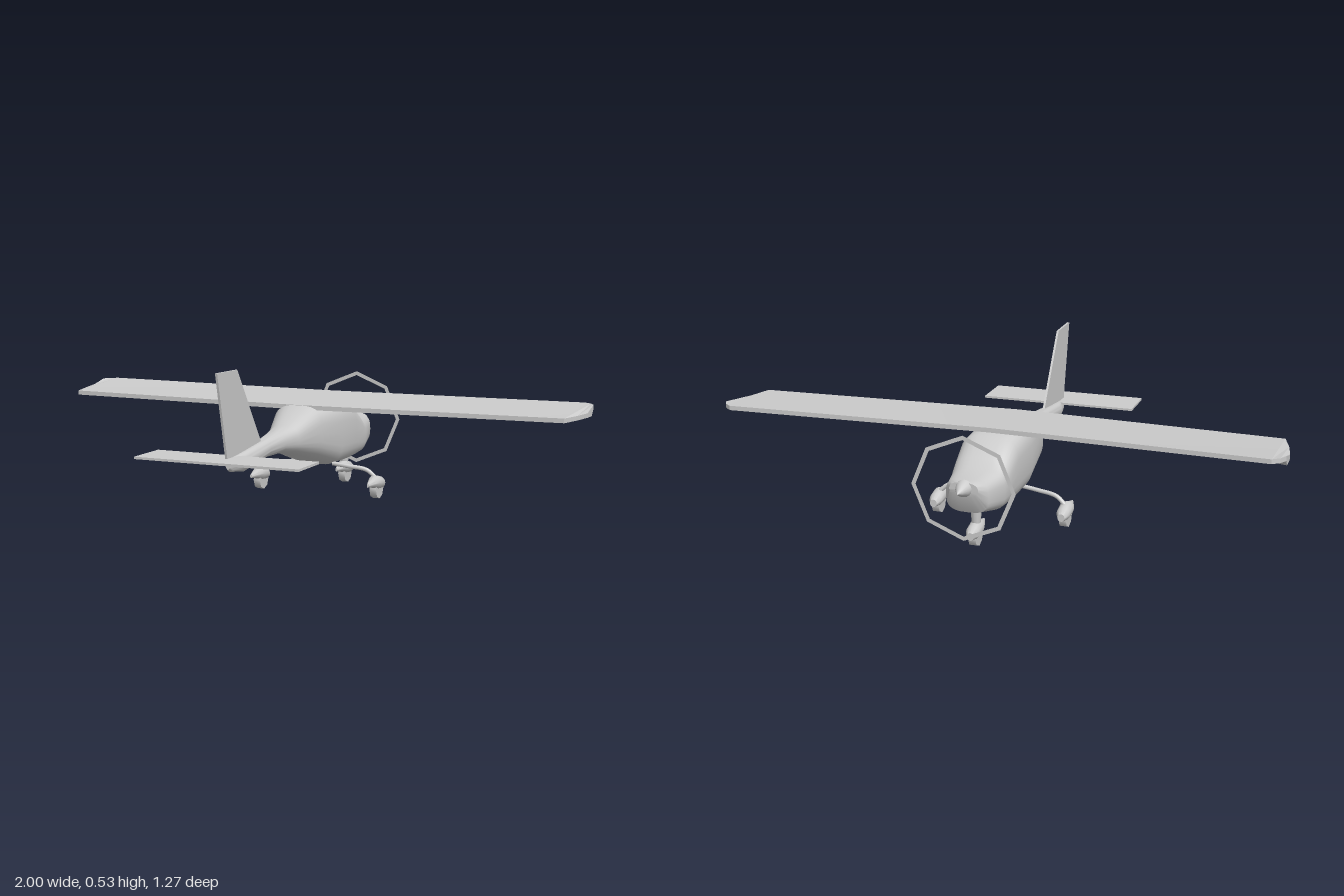
import * as THREE from 'three';
import { toCreasedNormals } from 'three/addons/utils/BufferGeometryUtils.js';

const material = new THREE.MeshStandardMaterial({ color: 0xcccccc, side: THREE.DoubleSide });

function part(name, geometry, parent) {
  const mesh = new THREE.Mesh(geometry, material);
  mesh.name = name;
  parent.add(mesh);
  return mesh;
}

// Skin between equal-length rings of [x, y, z] points, with both ends capped
function loft(rings, crease = 0.7) {
  const n = rings[0].length, points = rings.flat(), index = [];
  for (let i = 0; i < rings.length - 1; i++) {
    for (let j = 0; j < n; j++) {
      const a = i * n + j, b = i * n + (j + 1) % n;
      index.push(a, b, a + n, b, b + n, a + n);
    }
  }
  [0, rings.length - 1].forEach((r, end) => {
    const centre = points.length;
    points.push([0, 1, 2].map(k => rings[r].reduce((s, p) => s + p[k], 0) / n));
    for (let j = 0; j < n; j++) {
      const a = r * n + j, b = r * n + (j + 1) % n;
      index.push(centre, ...(end ? [a, b] : [b, a]));
    }
  });
  const geometry = new THREE.BufferGeometry();
  geometry.setAttribute('position', new THREE.Float32BufferAttribute(points.flat(), 3));
  geometry.setIndex(index);
  return toCreasedNormals(geometry, crease);
}

// Rounded-box cross-section: [z, bottom, top, half width, squareness]
function section([z, bottom, top, width, power = 2], sides) {
  const round = v => Math.sign(v) * Math.abs(v) ** (2 / power);
  return Array.from({ length: sides }, (_, j) => {
    const t = (j / sides) * Math.PI * 2;
    return [
      width * round(Math.cos(t)),
      (top + bottom) / 2 + ((top - bottom) / 2) * round(Math.sin(t)),
      z,
    ];
  });
}

const body = (stations, sides) => loft(stations.map(s => section(s, sides)));

// Faired wheel, used under the nose and under each main leg
function makeWheel(name, x, z) {
  const group = new THREE.Group();
  group.name = name;
  part('wheelFairing', body([
    [-0.07, 0.036, 0.064, 0.013],
    [-0.045, 0.032, 0.078, 0.024],
    [0, 0.036, 0.088, 0.026],
    [0.04, 0.05, 0.075, 0.014],
    [0.07, 0.053, 0.068, 0.004],
  ], 12), group);
  const tyre = new THREE.CylinderGeometry(0.038, 0.038, 0.026, 8).rotateZ(Math.PI / 2);
  part('tyre', toCreasedNormals(tyre, 0.9), group).position.set(0, 0.038, -0.016);
  group.position.set(x, 0, z);
  return group;
}

export function createModel() {
  const plane = new THREE.Group();
  plane.name = 'lightAircraft';

  // Fuselage from cowling to tail cone
  part('fuselage', body([
    [-0.575, 0.21, 0.26, 0.05, 2.5],
    [-0.54, 0.145, 0.262, 0.075, 3],
    [-0.44, 0.12, 0.264, 0.097, 3.2],
    [-0.4, 0.116, 0.29, 0.102, 3.2],
    [-0.32, 0.112, 0.342, 0.107, 3.4],
    [-0.18, 0.114, 0.352, 0.108, 3.4],
    [-0.02, 0.16, 0.352, 0.097, 3],
    [0.1, 0.195, 0.296, 0.06, 2.5],
    [0.17, 0.206, 0.284, 0.044, 2.3],
    [0.27, 0.207, 0.27, 0.032, 2.2],
    [0.44, 0.184, 0.25, 0.028, 2.2],
    [0.52, 0.196, 0.242, 0.014, 2.2],
    [0.535, 0.205, 0.235, 0.008, 2],
  ], 32), plane);

  // Spinner and thin propeller hoop
  const profile = [[0.03, 0], [0.024, 0.02], [0.012, 0.045], [0, 0.067]];
  const spinner = new THREE.LatheGeometry(profile.map(p => new THREE.Vector2(...p)), 16);
  part('spinner', spinner.rotateX(-Math.PI / 2), plane).position.set(0, 0.238, -0.568);
  part('propellerHoop', new THREE.RingGeometry(0.166, 0.181, 8), plane).position.set(0, 0.24, -0.58);

  // Wing: [x, leading z, trailing z], flat underside rising to the leading edge
  const half = [[1, -0.32, -0.235], [0.985, -0.345, -0.155], [0.96, -0.365, -0.07]];
  const span = [
    ...half.map(([x, a, b]) => [-x, a, b]),
    [0, -0.328, -0.022],
    ...half.toReversed(),
  ];
  const airfoil = [[0, 0.353], [0, 0.337], [0.72, 0.335], [1, 0.357], [1, 0.373]];
  part('wing', loft(span.map(([x, lead, trail]) =>
    airfoil.map(([u, y]) => [x, y, trail + (lead - trail) * u])), 0.2), plane);

  // Tail surfaces
  part('tailplane', new THREE.BoxGeometry(0.595, 0.008, 0.16), plane).position.set(0, 0.239, 0.552);
  const fin = new THREE.Shape([
    [-0.614, 0.53], [-0.47, 0.528], [-0.295, 0.267], [-0.3, 0.255], [-0.48, 0.236], [-0.545, 0.236],
  ].map(p => new THREE.Vector2(...p)));
  const finGeometry = new THREE.ExtrudeGeometry(fin, { depth: 0.008, bevelEnabled: false });
  part('fin', finGeometry.translate(0, 0, -0.004).rotateY(Math.PI / 2), plane);

  // Landing gear
  plane.add(makeWheel('noseWheel', 0, -0.449));
  const strut = new THREE.CylinderGeometry(0.02, 0.015, 0.06, 12);
  part('noseStrut', strut, plane).position.set(0, 0.105, -0.457);
  for (const side of [-1, 1]) {
    const label = side > 0 ? 'left' : 'right';
    plane.add(makeWheel(label + 'MainWheel', side * 0.235, -0.184));
    const curve = new THREE.CatmullRomCurve3([
      [0.07, 0.122, -0.175], [0.13, 0.115, -0.18], [0.2, 0.104, -0.19], [0.235, 0.075, -0.197],
    ].map(([x, y, z]) => new THREE.Vector3(side * x, y, z)));
    part(label + 'MainLeg', new THREE.TubeGeometry(curve, 16, 0.008, 8), plane);
  }

  return plane;
}
